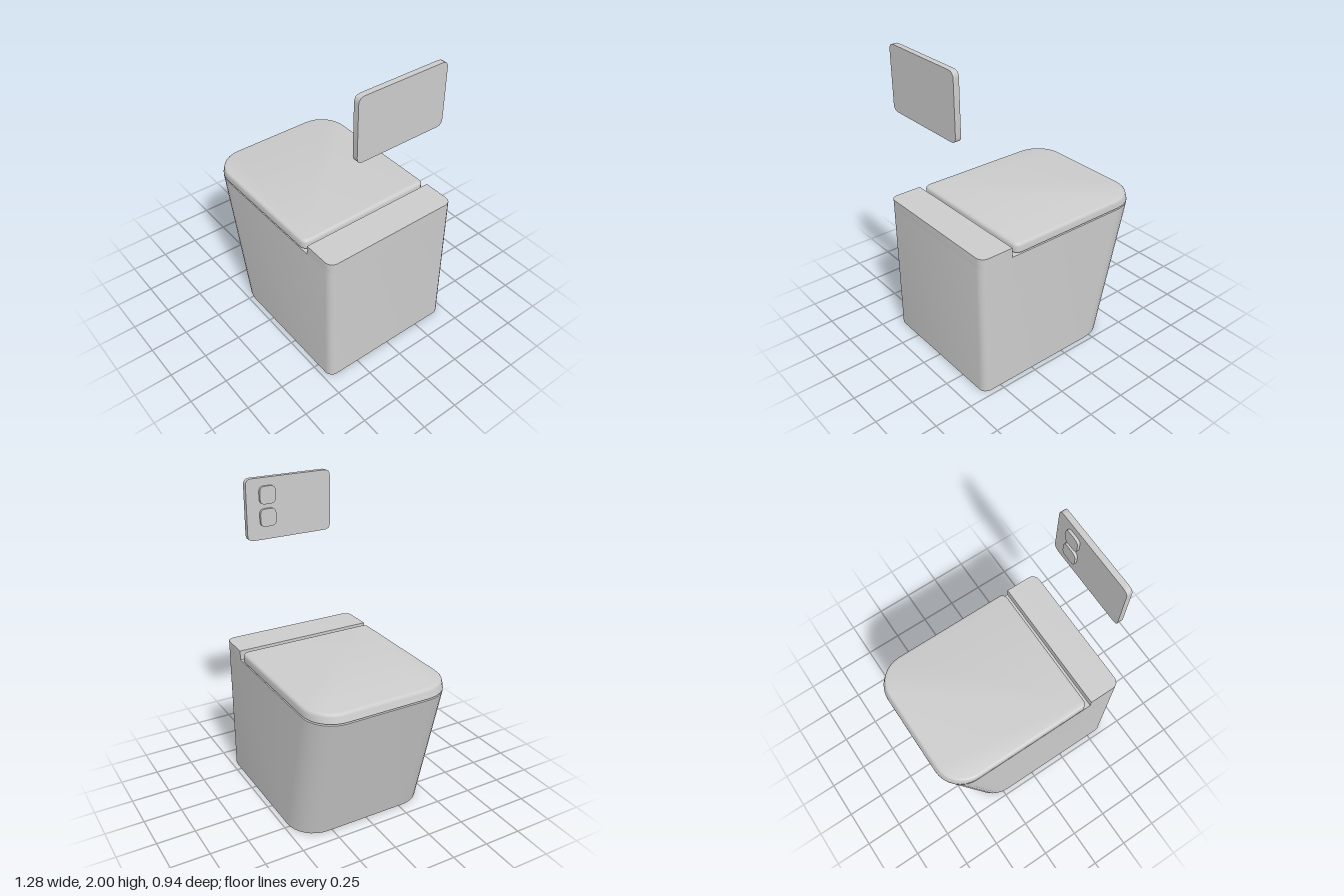
import * as THREE from 'three';
import { toCreasedNormals } from 'three/addons/utils/BufferGeometryUtils.js';

const material = new THREE.MeshStandardMaterial({ color: 0xcccccc });

function add(parent, name, geometry, x = 0, y = 0, z = 0) {
  const mesh = new THREE.Mesh(geometry, material);
  mesh.name = name;
  mesh.position.set(x, y, z);
  parent.add(mesh);
}

// Rounded plan outline in x and z; a front (-x) radius of 0 gives square corners
function outline({ x0, x1, hz, rf, rb }) {
  const frontSteps = rf > 0 ? 8 : 0;
  const corners = [
    [x1 - rb, hz - rb, rb, 4], [x0 + rf, hz - rf, rf, frontSteps],
    [x0 + rf, -hz + rf, rf, frontSteps], [x1 - rb, -hz + rb, rb, 4],
  ];
  const points = [];
  corners.forEach(([cx, cz, r, steps], k) => {
    for (let i = 0; i <= steps; i++) {
      const t = (k + i / (steps || 1)) * Math.PI / 2;
      points.push([cx + r * Math.cos(t), cz + r * Math.sin(t)]);
    }
  });
  return points;
}

// Closed solid through a stack of outlines, from bottom to top
function loft(sections) {
  const positions = [];
  const index = [];
  const rings = sections.map(outline);
  const n = rings[0].length;
  rings.forEach((ring, i) => ring.forEach(([x, z]) => positions.push(x, sections[i].y, z)));
  for (let i = 0; i < rings.length - 1; i++) {
    for (let j = 0; j < n; j++) {
      const a = i * n + j, b = i * n + (j + 1) % n;
      index.push(a, a + n, b + n, a, b + n, b);
    }
  }
  // Flat bottom and top
  const top = (rings.length - 1) * n;
  for (let j = 1; j < n - 1; j++) {
    index.push(0, j, j + 1, top, top + j + 1, top + j);
  }
  const geometry = new THREE.BufferGeometry();
  geometry.setAttribute('position', new THREE.Float32BufferAttribute(positions, 3));
  geometry.setIndex(index);
  return toCreasedNormals(geometry, 0.6);
}

// Rounded panel standing in the y-z plane, its thickness running towards -x
function panel(width, height, depth, r) {
  const w = width / 2, h = height / 2;
  const s = new THREE.Shape();
  s.moveTo(w, h - r);
  s.quadraticCurveTo(w, h, w - r, h);
  s.lineTo(-w + r, h);
  s.quadraticCurveTo(-w, h, -w, h - r);
  s.lineTo(-w, -h + r);
  s.quadraticCurveTo(-w, -h, -w + r, -h);
  s.lineTo(w - r, -h);
  s.quadraticCurveTo(w, -h, w, -h + r);
  const geometry = new THREE.ExtrudeGeometry(s, { depth, bevelEnabled: false, curveSegments: 4 });
  geometry.rotateY(-Math.PI / 2);
  return toCreasedNormals(geometry, 0.6);
}

export function createModel() {
  const model = new THREE.Group();
  model.name = 'toilet';

  // Pan with a raked front
  const rear = { x1: 0.625, hz: 0.468, rb: 0.05 };
  add(model, 'pan', loft([
    { ...rear, y: 0, x0: -0.41, rf: 0.19 },
    { ...rear, y: 0.89, x0: -0.64, rf: 0.19 },
  ]));

  // Raised ledge behind the lid
  const ledge = { ...rear, x0: 0.405, rf: 0 };
  add(model, 'rearLedge', loft([{ ...ledge, y: 0.89 }, { ...ledge, y: 0.953 }]));

  // Lid: raked front edge and a softly rounded top rim
  const lid = [{ y: 0.9, x0: -0.64, x1: 0.377, hz: 0.468, rf: 0.19, rb: 0.04 }];
  const rim = 0.02;
  for (let i = 0; i <= 3; i++) {
    const t = i / 3 * Math.PI / 2;
    const inset = rim * (1 - Math.cos(t));
    lid.push({
      y: 0.937 + rim * Math.sin(t),
      x0: -0.628 + inset,
      x1: 0.377 - inset,
      hz: 0.468 - inset,
      rf: 0.19 - inset,
      rb: 0.04 - inset,
    });
  }
  add(model, 'lid', loft(lid));

  // Wall flush plate with two buttons
  const flush = new THREE.Group();
  flush.name = 'flushPlate';
  model.add(flush);
  add(flush, 'plate', panel(0.6, 0.4, 0.036, 0.04), 0.64, 1.8, 0.01);
  add(flush, 'upperButton', panel(0.11, 0.115, 0.018, 0.035), 0.605, 1.89, -0.147);
  add(flush, 'lowerButton', panel(0.11, 0.115, 0.018, 0.035), 0.605, 1.745, -0.147);
  return model;
}
